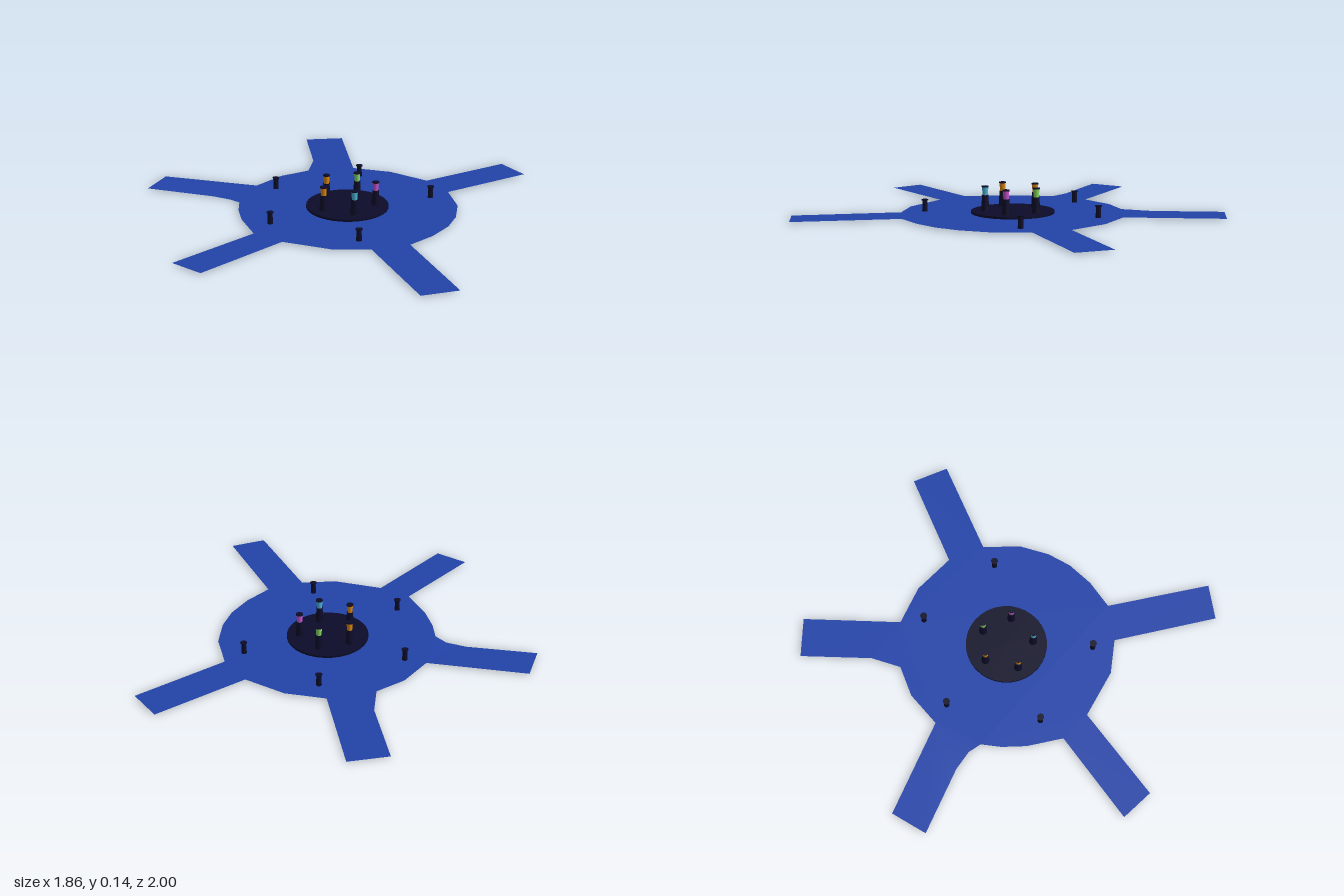
import * as THREE from 'three';

const mat = (name, color, side = THREE.FrontSide) => {
  const m = new THREE.MeshStandardMaterial({ color, side });
  m.name = name;
  return m;
};

// Arena outline seen from above, as [x, z]
const OUTLINE = [
  [-0.23, -1], [-0.01, -0.545], [0.2, -0.555], [0.42, -0.49],
  [0.74, -0.88], [0.89, -0.76], [0.57, -0.365], [0.665, -0.195],
  [0.695, -0.04], [0.69, 0.09], [0.65, 0.23], [0.577, 0.37],
  [0.926, 0.786], [0.775, 0.897], [0.42, 0.485], [0.25, 0.547],
  [-0.01, 0.54], [-0.23, 1], [-0.4, 0.94], [-0.177, 0.49],
  [-0.3, 0.345], [-0.363, 0.235], [-0.4, 0.135], [-0.463, 0.1],
  [-0.57, 0.087], [-0.93, 0.11], [-0.92, -0.085], [-0.407, -0.12],
  [-0.336, -0.3], [-0.227, -0.425], [-0.254, -0.58], [-0.415, -0.91],
];
const FLOOR_Y = 0.006;
const DAIS_TOP = 0.017;

export function createModel() {
  const model = new THREE.Group();
  model.name = 'arena';
  const blue = mat('floor blue', 0x2244aa, THREE.DoubleSide);
  const dark = mat('dark navy', 0x0c0c2a);
  const orange = mat('orange light', 0xe08a10);
  const green = mat('green light', 0x88dd66);
  const cyan = mat('cyan light', 0x4fb8dc);
  const pink = mat('pink light', 0xcc55d0);

  const add = (parent, name, geometry, material, y = 0) => {
    const mesh = new THREE.Mesh(geometry, material);
    mesh.name = name;
    mesh.position.y = y;
    parent.add(mesh);
    return mesh;
  };
  // Cylinder standing between two heights
  const drum = (parent, name, material, rTop, rBottom, y0, y1, sides = 16) =>
    add(parent, name, new THREE.CylinderGeometry(rTop, rBottom, y1 - y0, sides), material, (y0 + y1) / 2);

  // Thin floor with five walkways, dipping slightly beside the left one
  const shape = new THREE.Shape(OUTLINE.map(([x, z]) => new THREE.Vector2(x, -z)));
  const floorGeo = new THREE.ShapeGeometry(shape).rotateX(-Math.PI / 2);
  const p = floorGeo.attributes.position;
  for (let i = 0; i < p.count; i++) {
    const dip = p.getX(i) < -0.45 && p.getX(i) > -0.6 && p.getZ(i) > 0;
    p.setY(i, dip ? 0 : FLOOR_Y);
  }
  floorGeo.computeVertexNormals();
  add(model, 'floor', floorGeo, blue);

  // Round central platform
  const dais = drum(model, 'centralPlatform', dark, 0.21, 0.21, FLOOR_Y, DAIS_TOP, 32);
  dais.position.x = 0.138;

  // Short posts around the arena
  for (const [x, z] of [[0.058, -0.442], [0.503, -0.262], [-0.296, -0.116], [-0.148, 0.344], [0.331, 0.402]]) {
    const post = new THREE.Group();
    post.name = 'outerPost';
    post.position.set(x, 0, z);
    drum(post, 'postBody', dark, 0.012, 0.014, FLOOR_Y, 0.061);
    drum(post, 'postCap', dark, 0.018, 0.016, 0.061, 0.067);
    model.add(post);
  }

  // Ring of pedestals with coloured lights on the platform
  const pedestals = [
    [0.144, -0.139, green], [0.274, -0.043, pink], [0.214, 0.116, cyan],
    [0.05, 0.114, orange], [0.007, -0.053, orange],
  ];
  for (const [x, z, light] of pedestals) {
    const pedestal = new THREE.Group();
    pedestal.name = 'lightPedestal';
    pedestal.position.set(x, 0, z);
    drum(pedestal, 'pedestalBody', dark, 0.016, 0.021, DAIS_TOP, 0.09);
    drum(pedestal, 'pedestalCollar', dark, 0.017, 0.017, 0.09, 0.096);
    drum(pedestal, 'coloredLight', light, 0.016, 0.0135, 0.096, 0.136);
    drum(pedestal, 'pedestalCap', dark, 0.018, 0.018, 0.136, 0.142);
    model.add(pedestal);
  }
  return model;
}
